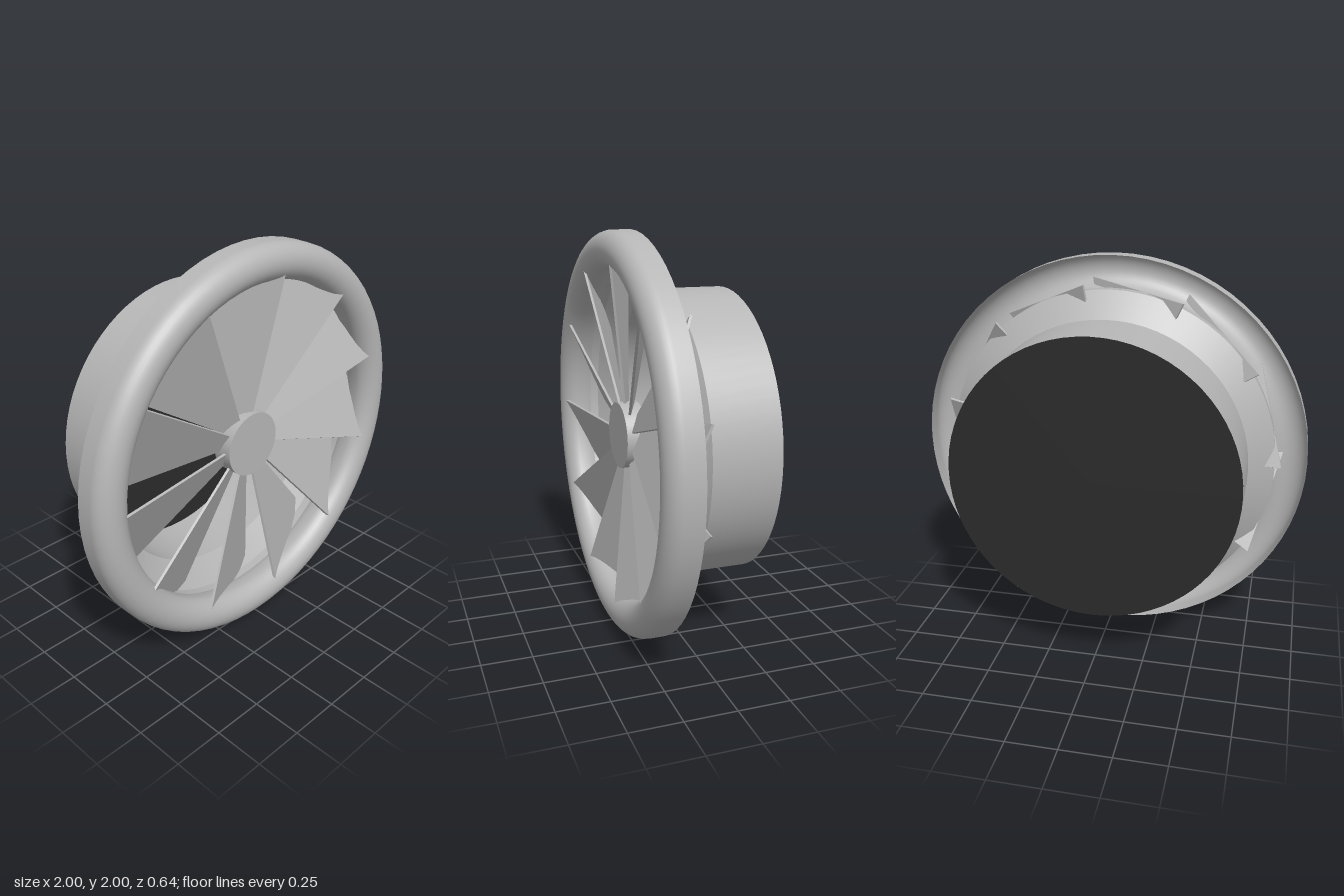
import * as THREE from 'three';

const SEGMENTS = 72;
const BLADES = 11;

const grey = new THREE.MeshStandardMaterial({ color: 0xb6b6b6, side: THREE.DoubleSide });
grey.name = 'light grey';
const dark = new THREE.MeshStandardMaterial({ color: 0x2b2b2b, side: THREE.DoubleSide });
dark.name = 'charcoal';

// Thin revolved shell around the z axis from [radius, z] pairs
function shell(name, profile) {
  const geo = new THREE.LatheGeometry(profile.map(([r, z]) => new THREE.Vector2(r, z)), SEGMENTS);
  geo.rotateX(Math.PI / 2);
  const mesh = new THREE.Mesh(geo, grey);
  mesh.name = name;
  return mesh;
}

export function createModel() {
  const model = new THREE.Group();
  model.name = 'ventFan';
  const fan = new THREE.Group();
  fan.name = 'fanAssembly';
  fan.position.y = 1;
  model.add(fan);

  // Rear pipe, flared cone and short collar, kept apart for sharp edges
  fan.add(
    shell('rearPipe', [[0.715, -0.32], [0.715, 0.018]]),
    shell('flaredCone', [[0.715, 0.018], [0.842, 0.113]]),
    shell('collar', [[0.842, 0.113], [0.842, 0.16]])
  );

  // Rounded rim, hollow at the back
  const rim = [[1, 0.158]];
  for (let i = 0; i <= 16; i++) {
    const a = (i / 16) * Math.PI;
    rim.push([0.91 + 0.09 * Math.cos(a), 0.235 + 0.085 * Math.sin(a)]);
  }
  rim.push([0.824, 0.19], [0.842, 0.158]);
  fan.add(shell('roundedRim', rim));

  // Dark disc closing the pipe
  const cap = new THREE.Mesh(new THREE.CircleGeometry(0.715, SEGMENTS), dark);
  cap.name = 'backDisc';
  cap.rotation.y = Math.PI;
  cap.position.z = -0.32;
  fan.add(cap);

  // Hub
  const hubGeo = new THREE.CylinderGeometry(0.165, 0.165, 0.1, 48);
  hubGeo.rotateX(Math.PI / 2);
  const hub = new THREE.Mesh(hubGeo, grey);
  hub.name = 'hub';
  hub.position.z = 0.185;
  fan.add(hub);

  // Flat tapered blades, each pitched about its own radial axis
  const step = (Math.PI * 2) / BLADES;
  const pitch = THREE.MathUtils.degToRad(25);
  const halfWidth = (r) => (r * Math.tan(step / 2)) / Math.cos(pitch);
  const inner = 0.16, outer = 0.84, thickness = 0.012;
  const outline = new THREE.Shape([
    new THREE.Vector2(inner, -halfWidth(inner)),
    new THREE.Vector2(outer, -halfWidth(outer)),
    new THREE.Vector2(outer, halfWidth(outer)),
    new THREE.Vector2(inner, halfWidth(inner))
  ]);
  const bladeGeo = new THREE.ExtrudeGeometry(outline, { depth: thickness, bevelEnabled: false });
  bladeGeo.translate(0, 0, -thickness / 2);
  bladeGeo.rotateX(-pitch);
  bladeGeo.translate(0, 0, 0.185);
  for (let i = 0; i < BLADES; i++) {
    const blade = new THREE.Mesh(bladeGeo, grey);
    blade.name = 'blade' + (i + 1);
    blade.rotation.z = Math.PI + step * (i + 0.5);
    fan.add(blade);
  }

  return model;
}
